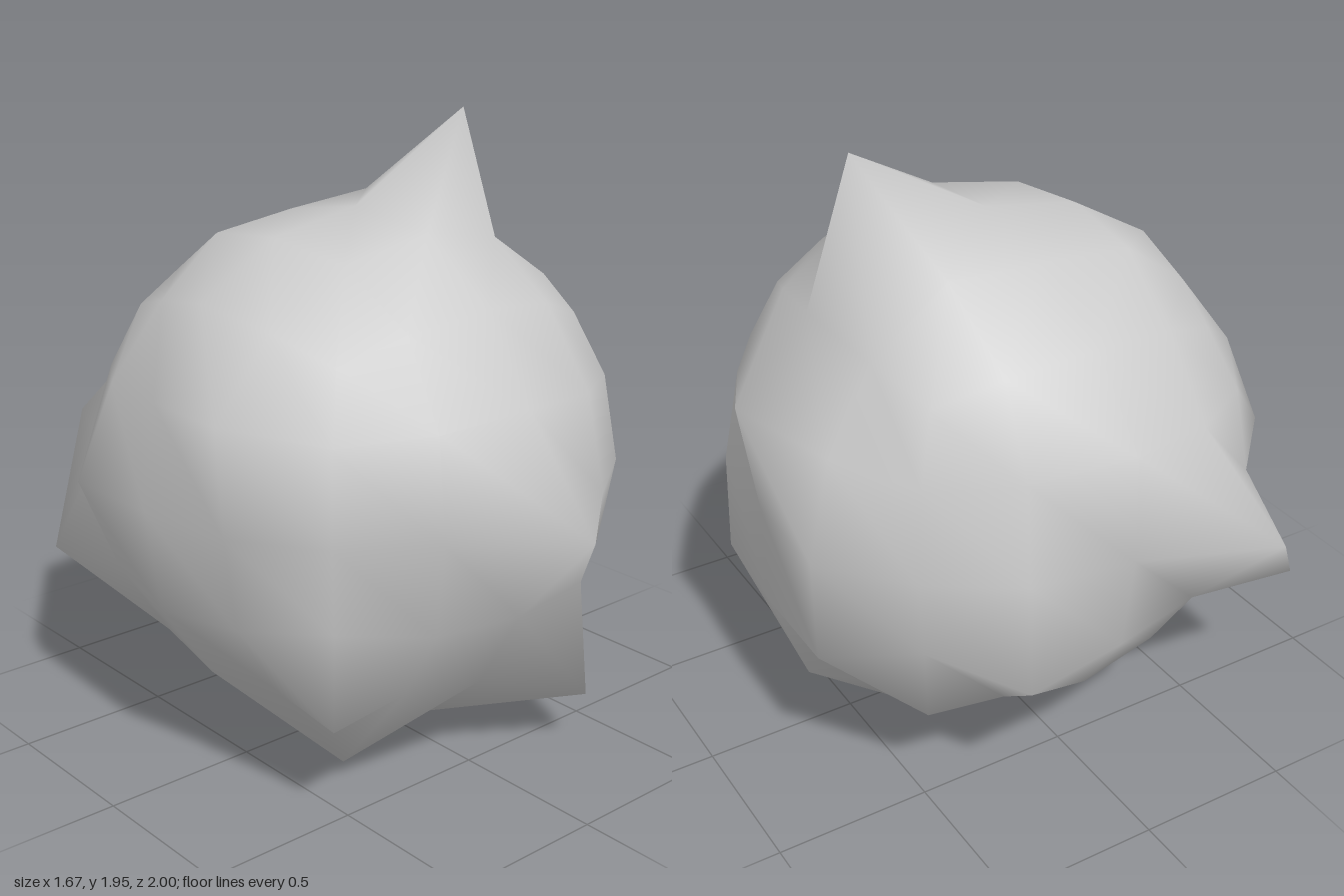
import * as THREE from 'three';
import { mergeVertices } from 'three/addons/utils/BufferGeometryUtils.js';

// Bumps and spikes: grid point on the 4x4x4 cube -> distance from the centre
const BASE = 0.83;
const RADII = {
  // long spikes
  '1,2,0': 1.155, '0,0,2': 1.025, '-1,0,-2': 1.06, '-2,-1,-2': 1.06, '1,-2,2': 1.06,
  '-2,-2,2': 0.99, '-1,-2,1': 0.975, '1,-2,0': 0.97, '2,-2,0': 0.95, '1,-1,-2': 0.94,
  // low bumps
  '-2,1,1': 0.93, '2,1,0': 0.925, '2,-1,-1': 0.925, '2,-1,1': 0.9, '-2,0,-1': 0.89,
  '1,2,-1': 0.9, '2,-2,-2': 0.92, '2,0,-1': 0.87, '0,1,-2': 0.87, '2,2,0': 0.86,
  '2,-1,0': 0.86, '0,-2,1': 0.86, '-1,-2,-1': 0.84,
  // flatter spots
  '0,2,0': 0.8, '0,-2,0': 0.8, '2,0,0': 0.795, '-2,0,0': 0.81, '0,0,-2': 0.81,
  '-1,2,0': 0.81, '0,2,-1': 0.81, '-2,2,-1': 0.81, '0,-1,2': 0.81, '0,-2,-1': 0.82,
};

// Round the cube grid: half steps move inwards so the spacing is even
function direction(p) {
  const fullSteps = p.filter((c) => Math.abs(c) === 2).length;
  const half = fullSteps === 2 ? 0.504 : 0.427;
  const q = p.map((c) => Math.sign(c) * (Math.abs(c) === 2 ? 1 : Math.abs(c) * half));
  return new THREE.Vector3(...q).normalize();
}

// Turn the quad diagonals on the four upright sides (side order: +x -x +y -y +z -z)
function turnDiagonals(index) {
  for (let i = 0; i < index.count; i += 6) {
    const side = Math.floor(i / 96);
    if (side === 2 || side === 3) continue;
    const [a, b, c, d] = [0, 1, 4, 5].map((k) => index.getX(i + k));
    [a, b, c, a, c, d].forEach((v, k) => index.setX(i + k, v));
  }
}

export function createModel() {
  const group = new THREE.Group();
  group.name = 'rock';

  // Shared vertices give smooth normals over the whole rock
  let geometry = new THREE.BoxGeometry(4, 4, 4, 4, 4, 4);
  geometry.deleteAttribute('normal');
  geometry.deleteAttribute('uv');
  geometry.clearGroups();
  geometry = mergeVertices(geometry, 0.01);
  turnDiagonals(geometry.index);

  const pos = geometry.attributes.position;
  for (let i = 0; i < pos.count; i++) {
    const p = [pos.getX(i), pos.getY(i), pos.getZ(i)].map((c) => Math.round(c));
    const v = direction(p).multiplyScalar(RADII[p.join(',')] ?? BASE);
    pos.setXYZ(i, v.x - 0.015, v.y + 0.9, v.z - 0.03);
  }
  geometry.computeVertexNormals();

  const body = new THREE.Mesh(geometry, new THREE.MeshStandardMaterial({ color: 0xcccccc }));
  body.name = 'rockBody';
  group.add(body);
  return group;
}
